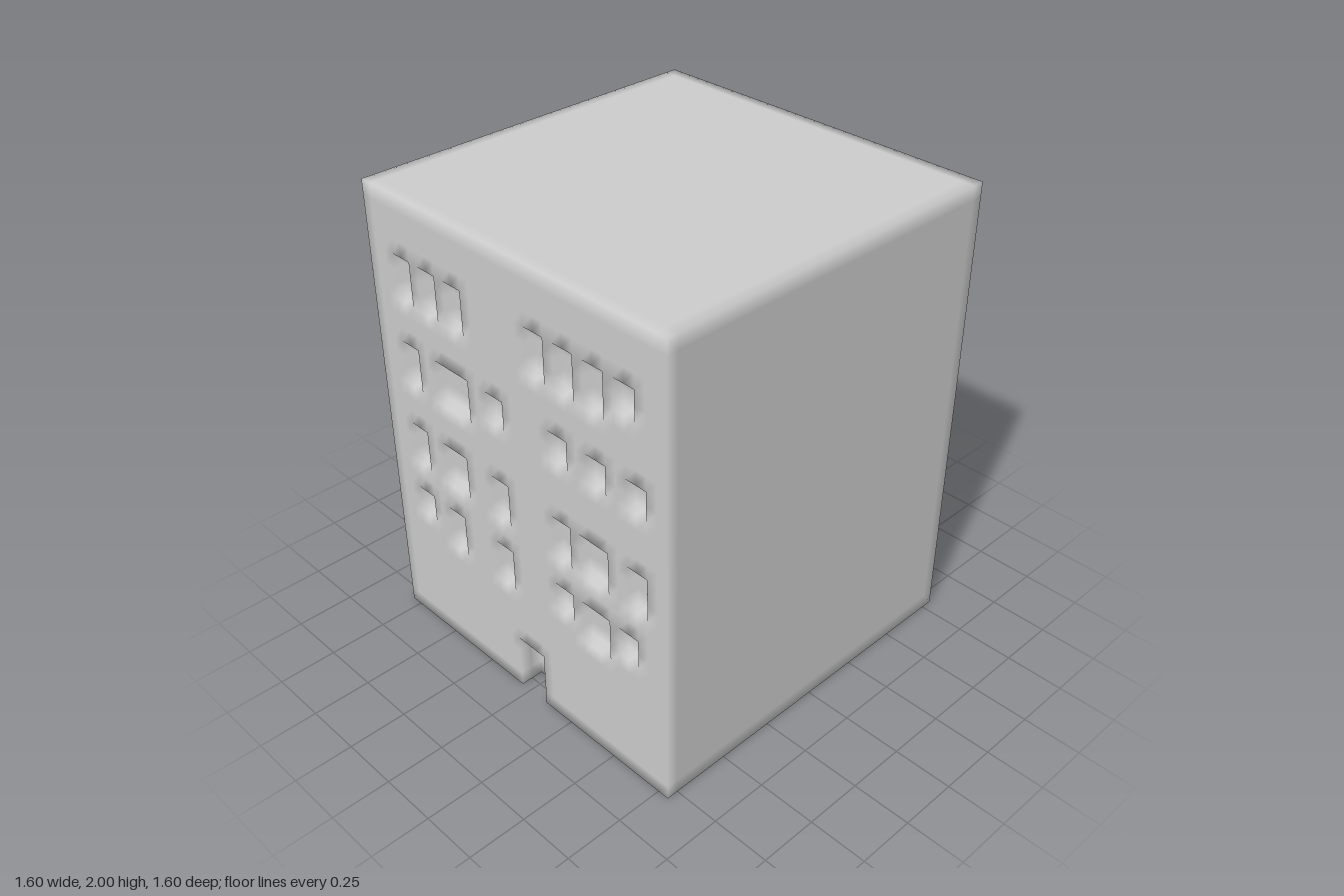
import * as THREE from 'three';

// The block is a 32 x 32 x 32 grid of cells; openings are cut out of its front.
const N = 32;
const SIZE = new THREE.Vector3(1.6, 2, 1.6);

// Window rows: top cell line, then [first column, width, height] in cells.
const windowRows = [
  { top: 28, items: [[3, 2, 3], [6, 2, 3], [9, 2, 3], [18, 2, 3], [21, 2, 3], [24, 2, 3], [27, 2, 2]] },
  { top: 22, items: [[3, 2, 3], [7, 4, 3], [13, 2, 2], [20, 2, 2], [24, 2, 2], [28, 2, 2]] },
  { top: 16, items: [[3, 2, 3], [7, 3, 3], [13, 2, 3], [20, 2, 3], [23, 3, 3], [28, 2, 3]] },
  { top: 11, items: [[3, 2, 2], [7, 2, 3], [13, 2, 3], [20, 2, 2], [23, 3, 3], [27, 2, 2]] },
];
const door = { column: 15, width: 3, top: 4, height: 4, depth: 2 };

// Recess depth, in cells, for every column and row of the facade
function facadeDepths() {
  const depth = new Uint8Array(N * N);
  const cut = (column, width, top, height, d) => {
    for (let x = column; x < column + width; x++)
      for (let y = top - height; y < top; y++) depth[x + N * y] = d;
  };
  for (const { top, items } of windowRows)
    for (const [column, width, height] of items) cut(column, width, top, height, 1);
  cut(door.column, door.width, door.top, door.height, door.depth);
  return depth;
}

// Skin of all filled cells, with shared corners so the edges shade softly
function buildingGeometry() {
  const depth = facadeDepths();
  const filled = (c) => c.every((v) => v >= 0 && v < N) && c[2] < N - depth[c[0] + N * c[1]];
  const positions = [], indices = [], known = new Map();

  const corner = (c) => {
    const key = c.join();
    if (!known.has(key)) {
      known.set(key, positions.length / 3);
      positions.push(
        (c[0] / N - 0.5) * SIZE.x,
        (c[1] / N) * SIZE.y,
        (c[2] / N - 0.5) * SIZE.z
      );
    }
    return known.get(key);
  };

  const addFace = (cell, axis, side) => {
    const u = (axis + 1) % 3, v = (axis + 2) % 3;
    const quad = [[0, 0], [1, 0], [1, 1], [0, 1]].map(([a, b]) => {
      const c = [...cell];
      c[axis] += side > 0 ? 1 : 0;
      c[u] += a;
      c[v] += b;
      return corner(c);
    });
    if (side < 0) quad.reverse();
    const [a, b, c, d] = quad;
    indices.push(a, b, c, a, c, d);
  };

  for (let x = 0; x < N; x++)
    for (let y = 0; y < N; y++)
      for (let z = 0; z < N; z++) {
        const cell = [x, y, z];
        if (!filled(cell)) continue;
        for (let axis = 0; axis < 3; axis++)
          for (const side of [-1, 1]) {
            const next = [...cell];
            next[axis] += side;
            if (!filled(next)) addFace(cell, axis, side);
          }
      }

  const geometry = new THREE.BufferGeometry();
  geometry.setAttribute('position', new THREE.Float32BufferAttribute(positions, 3));
  geometry.setIndex(indices);
  geometry.computeVertexNormals();
  return geometry;
}

export function createModel() {
  const group = new THREE.Group();
  group.name = 'apartmentBlock';
  // Walls, roof, base and the recessed windows and door in one smooth skin
  const building = new THREE.Mesh(
    buildingGeometry(),
    new THREE.MeshStandardMaterial({ color: 0xcccccc })
  );
  building.name = 'buildingWithWindowsAndDoor';
  group.add(building);
  return group;
}
